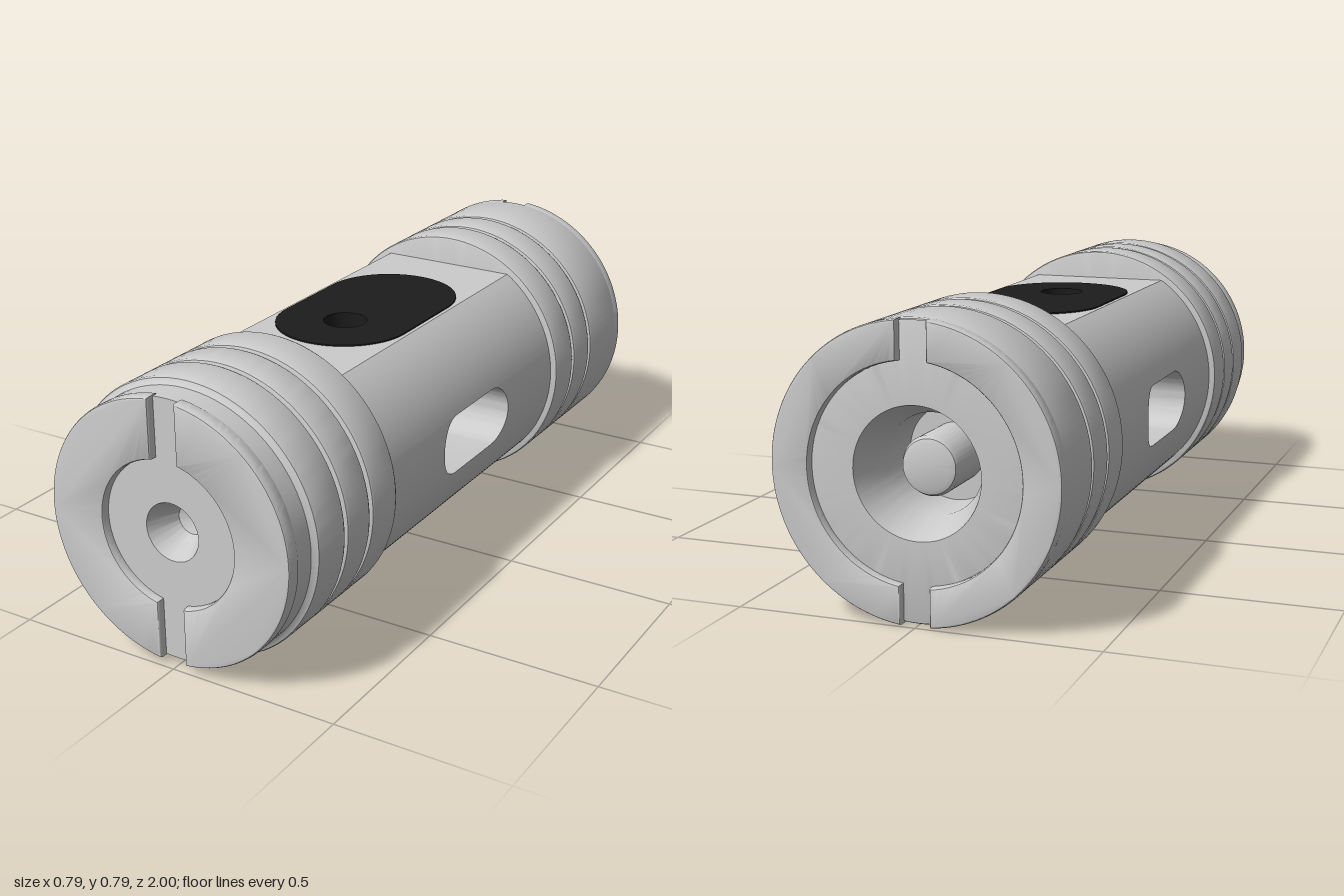
import * as THREE from 'three';
import { toCreasedNormals } from 'three/addons/utils/BufferGeometryUtils.js';
import { ParametricGeometry } from 'three/addons/geometries/ParametricGeometry.js';

const grey = new THREE.MeshStandardMaterial({ color: 0xcccccc, side: THREE.DoubleSide });
const black = new THREE.MeshStandardMaterial({ color: 0x1c1c1c, side: THREE.DoubleSide });

const R = 0.375, FLAT = 0.31, RIM = 0.395;    // body radius, flat height, flange radius
const SLOT_R = 0.09, SLOT_C = 0.11;           // side slot end radius and centre offset
const INS_R = 0.2, INS_C = 0.13, INS_H = 0.314; // insert end radius, centre offset, half height
const HOLE = 0.063, HOLE_Z = 0.125;

const surface = (fn, nu, nv) => toCreasedNormals(new ParametricGeometry(fn, nu, nv), 0.6);
const lerp = THREE.MathUtils.lerp;

function add(parent, name, geometry, material = grey) {
  const mesh = new THREE.Mesh(geometry, material);
  mesh.name = name;
  parent.add(mesh);
  return mesh;
}

// Capsule outline with its long axis along the shape's y
function capsule(Type) {
  const p = new Type();
  p.absarc(0, INS_C, INS_R, 0, Math.PI);
  p.absarc(0, -INS_C, INS_R, Math.PI, 2 * Math.PI);
  p.closePath();
  return p;
}

function circlePath(y) {
  const p = new THREE.Path();
  p.absarc(0, y, HOLE, 0, 2 * Math.PI);
  return p;
}

// Flat shape laid into the xz plane at a height
const laid = (shape, y) => new THREE.ShapeGeometry(shape, 32).rotateX(Math.PI / 2).translate(0, y, 0);

function buildBody(g) {
  const a0 = Math.asin(SLOT_R / R), a1 = Math.asin(FLAT / R);
  for (const s of [-1, 1]) {
    const side = new THREE.Group();
    side.name = s > 0 ? 'leftBodySide' : 'rightBodySide';
    g.add(side);
    // Curved wall above and below the slot
    for (const k of [-1, 1]) {
      add(side, 'curvedWall', surface((u, v, p) => {
        const a = lerp(a0, a1, u);
        p.set(s * R * Math.cos(a), k * R * Math.sin(a), lerp(-0.5, 0.5, v));
      }, 16, 1));
      // Curved wall in front of and behind the slot
      add(side, 'slotEndWall', surface((u, v, p) => {
        const t = (u - 0.5) * Math.PI, y = SLOT_R * Math.sin(t);
        p.set(s * Math.sqrt(R * R - y * y), y, k * lerp(SLOT_C + SLOT_R * Math.cos(t), 0.5, v));
      }, 24, 1));
    }
    // Inner wall of the slot
    add(side, 'slotLining', surface((u, v, p) => {
      const t = 2 * Math.PI * u, c = Math.cos(t), y = SLOT_R * Math.sin(t);
      p.set(s * lerp(0.185, Math.sqrt(R * R - y * y), v), y, Math.sign(c) * SLOT_C + SLOT_R * c);
    }, 66, 1));
  }
  // Flats above and below
  const w = Math.sqrt(R * R - FLAT * FLAT);
  const flat = new THREE.Shape([[-w, -0.5], [w, -0.5], [w, 0.5], [-w, 0.5]].map(q => new THREE.Vector2(...q)));
  flat.holes.push(capsule(THREE.Path));
  add(g, 'topFlat', laid(flat, FLAT));
  add(g, 'bottomFlat', laid(flat, -FLAT));
}

function buildInsert(g) {
  const insert = new THREE.Group();
  insert.name = 'insert';
  g.add(insert);
  const top = capsule(THREE.Shape), bottom = capsule(THREE.Shape);
  top.holes.push(circlePath(HOLE_Z));
  bottom.holes.push(circlePath(HOLE_Z), circlePath(-HOLE_Z));
  add(insert, 'insertTop', laid(top, INS_H), black);
  add(insert, 'insertBottom', laid(bottom, -INS_H), black);
  // Side walls, parted around the cross hole
  for (const s of [-1, 1]) for (const k of [-1, 1]) {
    add(insert, 'insertWall', surface((u, v, p) => {
      const z = -(INS_C + INS_R) * Math.cos(Math.PI * u);
      const e = Math.max(0, Math.abs(z) - INS_C);
      const x = Math.sqrt(Math.max(0, INS_R * INS_R - e * e));
      const h = Math.sqrt(Math.max(0, HOLE * HOLE - (z + HOLE_Z) ** 2));
      p.set(s * x, k * lerp(h, INS_H, v), z);
    }, 240, 1), black);
  }
  // Hole linings
  const tube = len => new THREE.CylinderGeometry(HOLE, HOLE, len, 40, 1, true);
  add(insert, 'verticalHole', tube(2 * INS_H).translate(0, 0, HOLE_Z), black);
  add(insert, 'crossHole', tube(0.385).rotateZ(Math.PI / 2).translate(0, 0, -HOLE_Z), black);
  const depth = INS_H - HOLE;
  add(insert, 'blindHole', tube(depth).translate(0, -HOLE - depth / 2, -HOLE_Z), black);
  add(insert, 'blindHoleEnd', new THREE.CircleGeometry(HOLE, 40).rotateX(Math.PI / 2)
    .translate(0, -HOLE, -HOLE_Z), black);
}

// Profile of rounded rings split by narrow grooves, along rising z
function rings(spans) {
  const b = 0.01, r = RIM, pts = [];
  spans.forEach(([z0, z1], i) => {
    if (i) pts.push([0.36, z0]);
    pts.push([r - b, z0], [r - b * 0.3, z0 + b * 0.3], [r, z0 + b],
      [r, z1 - b], [r - b * 0.3, z1 - b * 0.3], [r - b, z1]);
    if (i < spans.length - 1) pts.push([0.36, z1]);
  });
  return pts;
}

function lathe(pts) {
  const geo = new THREE.LatheGeometry(pts.map(q => new THREE.Vector2(...q)), 96);
  return toCreasedNormals(geo.rotateX(Math.PI / 2), 0.6);
}

// Raised end face: two half rings leaving a slot between them
function endFace(g, name, ro, ri, dir) {
  const face = new THREE.Group();
  face.name = name;
  const b = 0.01, gap = 0.04;
  const ao = Math.acos(gap / ro), ai = Math.acos(gap / ri);
  const shape = new THREE.Shape();
  shape.absarc(0, 0, ro, -ao, ao);
  shape.absarc(0, 0, ri, ai, -ai, true);
  shape.closePath();
  const geo = toCreasedNormals(new THREE.ExtrudeGeometry(shape, {
    depth: 0.025, curveSegments: 56, bevelSize: 0.006, bevelOffset: -0.006,
    bevelThickness: b, bevelSegments: 3,
  }), 0.6).translate(0, 0, 1 - 0.025 - b);
  for (const turn of [0, Math.PI]) add(face, 'halfRing', geo).rotation.z = turn;
  if (dir < 0) face.rotation.y = Math.PI;
  g.add(face);
}

export function createModel() {
  const model = new THREE.Group();
  model.name = 'slottedCylinder';
  const g = new THREE.Group();
  g.name = 'assembly';
  g.position.y = RIM;
  model.add(g);

  buildBody(g);
  buildInsert(g);

  // Front end with stepped nose and countersunk centre
  add(g, 'frontEnd', lathe([[0.2, 0.502], ...rings([[0.502, 0.628], [0.64, 0.753], [0.764, 0.892]]),
    [0.376, 0.9], [0.374, 0.975], [0.083, 0.975], [0.042, 0.89], [0, 0.875]]));
  endFace(g, 'frontFace', 0.377, 0.208, 1);

  // Back end with tapered bore
  add(g, 'backEnd', lathe([[0, -0.72], [0.13, -0.72], [0.135, -0.86], [0.175, -0.975], [0.39, -0.975],
    ...rings([[-0.974, -0.764], [-0.753, -0.637], [-0.626, -0.502]]), [0.2, -0.502]]));
  endFace(g, 'backFace', RIM, 0.29, -1);

  // Pin inside the bore
  add(g, 'pin', lathe([[0, -0.9], [0.06, -0.9], [0.073, -0.895], [0.08, -0.88], [0.08, -0.72]]));
  return model;
}
